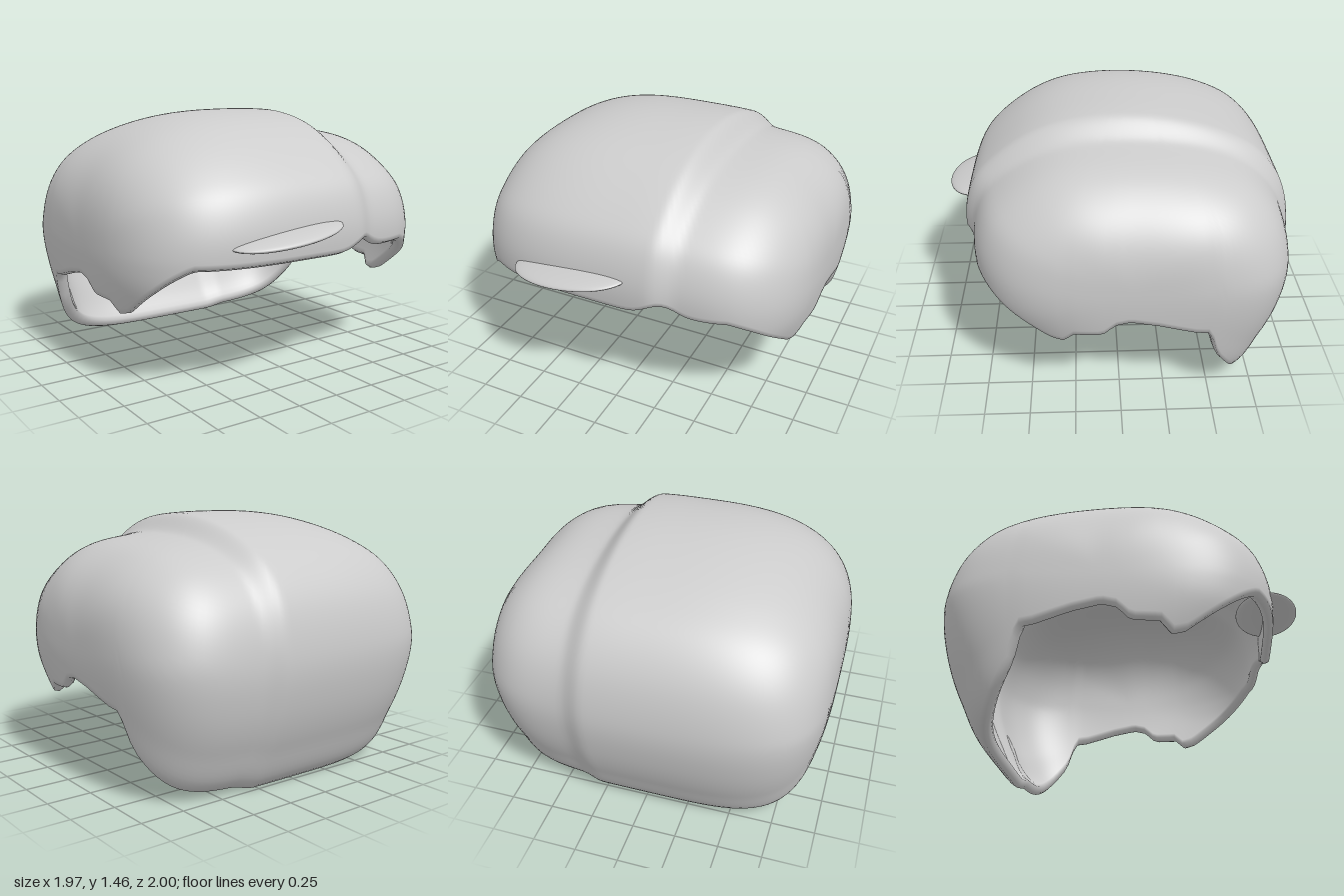
import * as THREE from 'three';
import { mergeVertices } from 'three/addons/utils/BufferGeometryUtils.js';

const CY = 0.75, CZ = -0.07, HALF_WIDTH = 0.985;
const COLS = 192, ROWS = 64;
const { lerp, smoothstep } = THREE.MathUtils;

// Side profile (z, y) around the shell's centre, sampled as radius by angle
const profile = new THREE.CatmullRomCurve3([
  [0.86, 0.75], [0.855, 0.92], [0.8, 1.08], [0.7, 1.195], [0.5, 1.34], [0.3, 1.42], [0, 1.46],
  [-0.3, 1.435], [-0.6, 1.345], [-0.8, 1.225], [-0.94, 1.03], [-1, 0.75], [-0.97, 0.5], [-0.88, 0.25],
  [-0.72, 0], [-0.2, -0.02], [0.4, 0.12], [0.8, 0.5],
].map(([z, y]) => new THREE.Vector3(z - CZ, y - CY, 0)), true);
const radii = profile.getPoints(400).slice(0, -1)
  .map((p) => [(Math.atan2(p.y, p.x) + 2 * Math.PI) % (2 * Math.PI), p.length()])
  .sort((a, b) => a[0] - b[0]);

// Height of the lower rim by depth (z, y)
const rim = [
  [-0.72, 0], [-0.66, 0.08], [-0.53, 0.3], [-0.48, 0.49], [-0.4, 0.5], [-0.2, 0.56], [-0.05, 0.59],
  [0.03, 0.57], [0.1, 0.5], [0.25, 0.495], [0.31, 0.43], [0.38, 0.45], [0.6, 0.61], [0.75, 0.73],
];

function lookUp(table, v) {
  if (v <= table[0][0]) return table[0][1];
  const i = table.findIndex((p) => p[0] >= v);
  if (i < 0) return table[table.length - 1][1];
  const [a, b] = [table[i - 1], table[i]];
  return lerp(a[1], b[1], (v - a[0]) / (b[0] - a[0] || 1));
}

function rimHeight(p) {
  const bump = p.z > 0.5 ? 0.065 * Math.exp(-(((p.x - 0.32) / 0.1) ** 2)) : 0;
  return lookUp(rim, p.z) + bump;
}

// Rounded-box field with a step and groove along the left side
function field(x, y, z) {
  const angle = (Math.atan2(y, z) + 2 * Math.PI) % (2 * Math.PI);
  const up = Math.max(0, Math.sin(angle));
  const down = Math.max(0, -Math.sin(angle));
  const front = Math.max(0, Math.cos(angle));
  const power = lerp(4.3 - 0.8 * front, 2.6, up);
  const depth = 0.05 + 0.08 * up * up - 0.03 * down;
  const step = 1 - depth * smoothstep(x, 0.26, 0.41) * (1 - 0.35 * smoothstep(x, 0.42, 0.75));
  const width = HALF_WIDTH * (1 - 0.05 * smoothstep(-y, 0, 0.6));
  const r = Math.hypot(y, z) / (lookUp(radii, angle) * step);
  return Math.abs(x / width) ** power + r ** power - 1;
}

// Point of the outer surface in a given direction from the centre
function surfacePoint(azimuth, elevation) {
  const x = Math.cos(elevation) * Math.sin(azimuth);
  const y = Math.sin(elevation);
  const z = Math.cos(elevation) * Math.cos(azimuth);
  let lo = 0.3, hi = 1.7;
  for (let i = 0; i < 22; i++) {
    const t = (lo + hi) / 2;
    if (field(x * t, y * t, z * t) < 0) lo = t; else hi = t;
  }
  return new THREE.Vector3(x * lo, y * lo + CY, z * lo + CZ);
}

function rimElevation(azimuth) {
  let lo = -1.2, hi = 0.8;
  for (let i = 0; i < 20; i++) {
    const e = (lo + hi) / 2;
    const p = surfacePoint(azimuth, e);
    if (p.y > rimHeight(p)) hi = e; else lo = e;
  }
  return hi;
}

// Open shell: outer rows from crown to rim, a rounded lip, inner rows back up
function shellGeometry() {
  const centre = new THREE.Vector3(0, CY, CZ);
  const total = 2 * ROWS + 3;
  const positions = [], index = [];
  for (let c = 0; c < COLS; c++) {
    const azimuth = (c / COLS) * Math.PI * 2;
    const low = rimElevation(azimuth);
    const outer = [];
    for (let r = 0; r <= ROWS; r++) outer.push(surfacePoint(azimuth, lerp(Math.PI / 2, low, r / ROWS)));
    const inward = (p, s) => p.clone().sub(centre).multiplyScalar(s).add(centre);
    const lip = inward(outer[ROWS], 0.97);
    lip.y = Math.max(0, lip.y - 0.015);
    const inner = outer.map((p) => inward(p, 0.94)).reverse();
    for (const p of [...outer, lip, ...inner]) positions.push(p.x, p.y, p.z);
    const next = (c + 1) % COLS;
    for (let r = 0; r < total - 1; r++) {
      const a = c * total + r, b = next * total + r;
      index.push(a, a + 1, b + 1, a, b + 1, b);
    }
  }
  let geometry = new THREE.BufferGeometry();
  geometry.setAttribute('position', new THREE.Float32BufferAttribute(positions, 3));
  geometry.setIndex(index);
  geometry = mergeVertices(geometry, 1e-5);
  geometry.computeVertexNormals();
  return geometry;
}

export function createModel() {
  const group = new THREE.Group();
  const grey = new THREE.MeshStandardMaterial({ color: 0xcccccc });
  grey.name = 'light grey';

  const shell = new THREE.Mesh(shellGeometry(), grey);
  shell.name = 'shell';
  group.add(shell);

  // Thin lens passing through the front wall
  const lens = new THREE.Mesh(new THREE.SphereGeometry(1, 48, 24), grey);
  lens.name = 'frontLens';
  lens.scale.set(0.345, 0.036, 0.175);
  lens.position.set(-0.205, 0.86, 0.825);
  lens.rotation.set(0.06, 0, 0.11);
  group.add(lens);
  return group;
}
